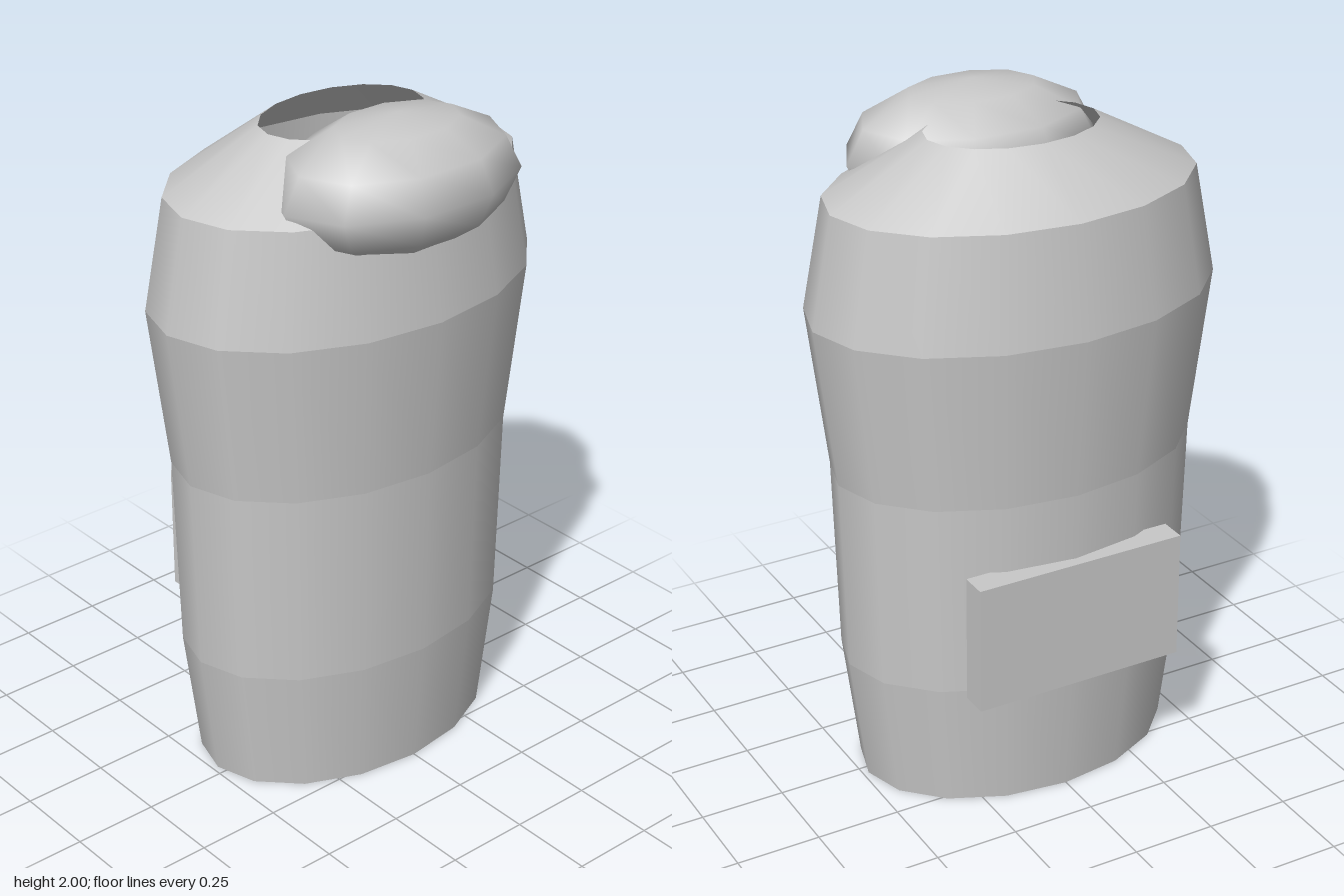
import * as THREE from 'three';

export function createModel() {
  const model = new THREE.Group();
  const grey = new THREE.MeshStandardMaterial({ color: 0xc8c8c8, side: THREE.DoubleSide });
  grey.name = 'plain grey';

  const add = (parent, name, geometry, x, y, z) => {
    const mesh = new THREE.Mesh(geometry, grey);
    mesh.name = name;
    mesh.position.set(x, y, z);
    parent.add(mesh);
    return mesh;
  };

  // Hollow oval shell, open at both ends: [half width, height] of each ring
  const rings = [
    [0.483, 0], [0.533, 0.39], [0.549, 0.975],
    [0.61, 1.455], [0.548, 1.777], [0.257, 1.935],
  ];
  const shell = new THREE.Group();
  shell.name = 'shell';
  model.add(shell);
  // One band per pair of rings, so the bands meet at crisp edges
  for (let i = 0; i < rings.length - 1; i++) {
    const profile = [rings[i], rings[i + 1]].map(([r, y]) => new THREE.Vector2(r, y));
    const band = new THREE.LatheGeometry(profile, 16).scale(1, 1, 0.68);
    add(shell, i === rings.length - 2 ? 'shoulder' : `shellBand${i + 1}`, band, 0, 0, -0.03);
  }

  // Squashed low-poly ball sunk into the front of the shoulder
  const ball = new THREE.SphereGeometry(1, 10, 6).scale(0.388, 0.19, 0.26);
  add(model, 'head', ball, 0, 1.81, 0.196);

  // Flat block on the back
  add(model, 'backBlock', new THREE.BoxGeometry(0.646, 0.386, 0.08), 0, 0.583, -0.392);

  return model;
}
